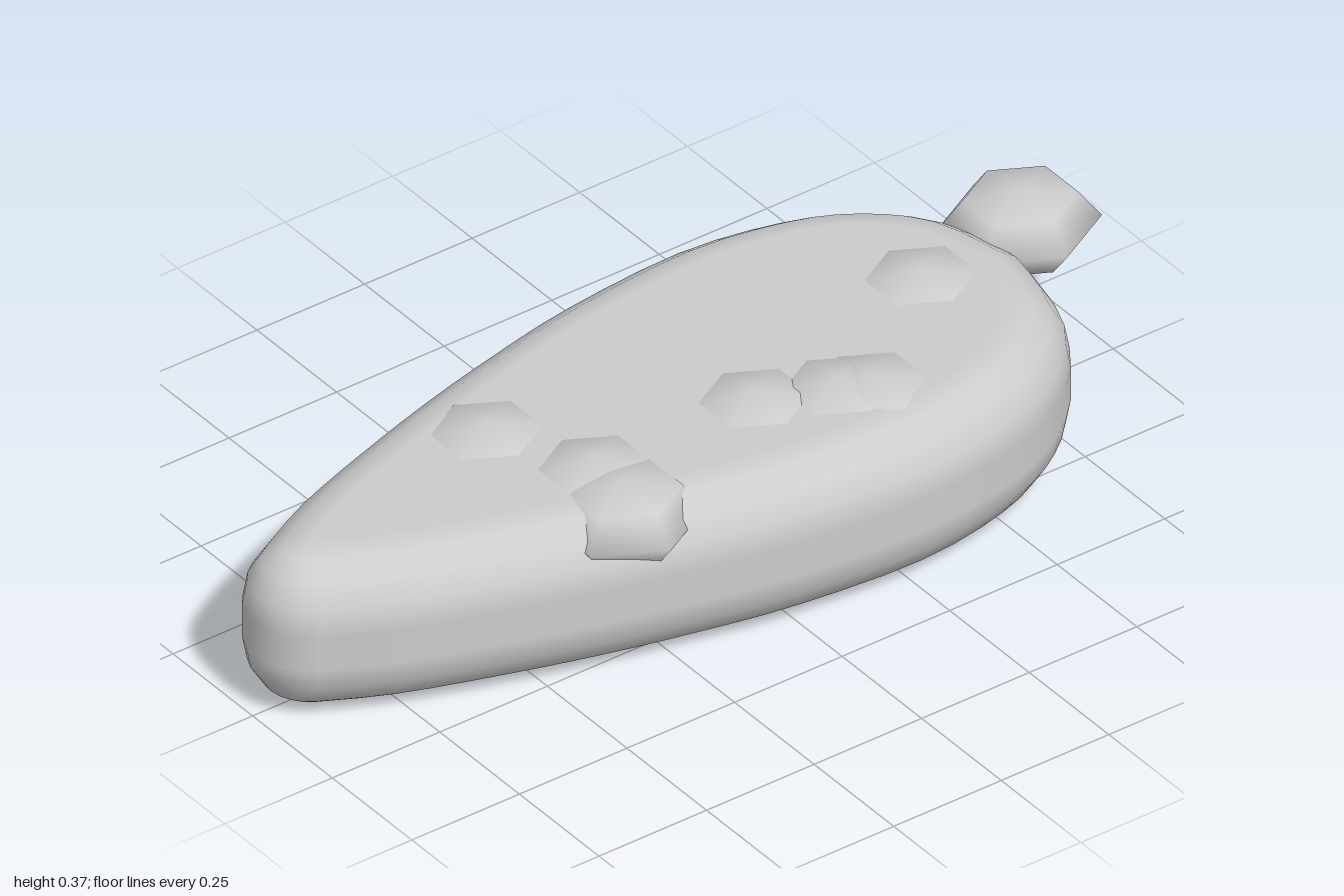
import * as THREE from 'three';

const grey = new THREE.MeshStandardMaterial({ color: 0xcccccc });
grey.name = 'light grey';

const BEVEL = 0.125;    // sideways reach of the rounded rim
const ROUND = 0.136;    // height of the rounded rim
const HEIGHT = 0.346;

// Flat-top outline with the outward direction at each point, as a closed loop
function slabOutline() {
  const curve = new THREE.SplineCurve([
    [-0.87, 0], [-0.74, 0.066], [-0.56, 0.13], [-0.365, 0.19], [-0.175, 0.2375], [0.015, 0.275],
    [0.27, 0.295], [0.46, 0.264], [0.57, 0.212], [0.65, 0.128], [0.685, 0],
  ].map(([x, z]) => new THREE.Vector2(x, z)));
  const half = [];
  const steps = 30, tipSteps = 4;
  for (let i = 0; i <= steps; i++) {
    const p = curve.getPoint(i / steps);
    const t = curve.getTangent(i / steps);
    const n = i === steps ? new THREE.Vector2(1, 0) : new THREE.Vector2(-t.y, t.x);
    // Sweep the direction around the pointed tip so the rim is round there
    if (i === 0) {
      const end = Math.atan2(n.y, n.x);
      for (let k = 0; k < tipSteps; k++) {
        const a = Math.PI + (end - Math.PI) * k / tipSteps;
        half.push({ p, n: new THREE.Vector2(Math.cos(a), Math.sin(a)) });
      }
    }
    half.push({ p, n });
  }
  const mirror = half.slice(1, -1).reverse().map(({ p, n }) => ({
    p: new THREE.Vector2(p.x, -p.y), n: new THREE.Vector2(n.x, -n.y),
  }));
  return [...half, ...mirror];
}

// Teardrop slab: rings of the outline pushed out along a rounded profile
function slabGeometry() {
  const outline = slabOutline();
  const count = outline.length;
  const position = [], normal = [], index = [];
  const profile = [];
  for (let i = 0; i <= 4; i++) profile.push([Math.PI - i * Math.PI / 8, ROUND]);
  for (let i = 4; i >= 0; i--) profile.push([i * Math.PI / 8, HEIGHT - ROUND]);
  for (const [a, base] of profile) {
    const s = Math.sin(a), c = Math.cos(a);
    for (const { p, n } of outline) {
      position.push(p.x + n.x * BEVEL * s, base + ROUND * c, p.y + n.y * BEVEL * s);
      normal.push(n.x * s, c, n.y * s);
    }
  }
  // Cap centres
  position.push(0, 0, 0, 0, HEIGHT, 0);
  normal.push(0, -1, 0, 0, 1, 0);
  const bottom = profile.length * count, top = bottom + 1;
  const last = (profile.length - 1) * count;
  for (let i = 0; i < count; i++) {
    const j = (i + 1) % count;
    for (let r = 0; r < last; r += count) {
      index.push(r + i, r + j, r + count + j, r + i, r + count + j, r + count + i);
    }
    index.push(bottom, j, i, top, last + i, last + j);
  }
  const geometry = new THREE.BufferGeometry();
  geometry.setAttribute('position', new THREE.Float32BufferAttribute(position, 3));
  geometry.setAttribute('normal', new THREE.Float32BufferAttribute(normal, 3));
  geometry.setIndex(index);
  return geometry;
}

export function createModel() {
  const model = new THREE.Group();
  model.name = 'toppedSlice';

  const slab = new THREE.Mesh(slabGeometry(), grey);
  slab.name = 'slab';
  model.add(slab);

  // Flattened six-sided toppings sunk into the top
  const toppings = new THREE.Group();
  toppings.name = 'toppings';
  const lump = new THREE.SphereGeometry(1, 6, 4).rotateY(Math.PI / 6).scale(0.157, 0.081, 0.147);
  const spots = [
    [0.863, -0.107], [0.56, -0.01], [0.28, 0.21], [0.225, 0.185],
    [0.075, 0.125], [-0.295, 0.12], [-0.295, 0.215], [-0.39, -0.09],
  ];
  for (const [x, z] of spots) {
    const topping = new THREE.Mesh(lump, grey);
    topping.name = 'topping';
    topping.position.set(x, 0.288, z);
    toppings.add(topping);
  }
  model.add(toppings);
  return model;
}
